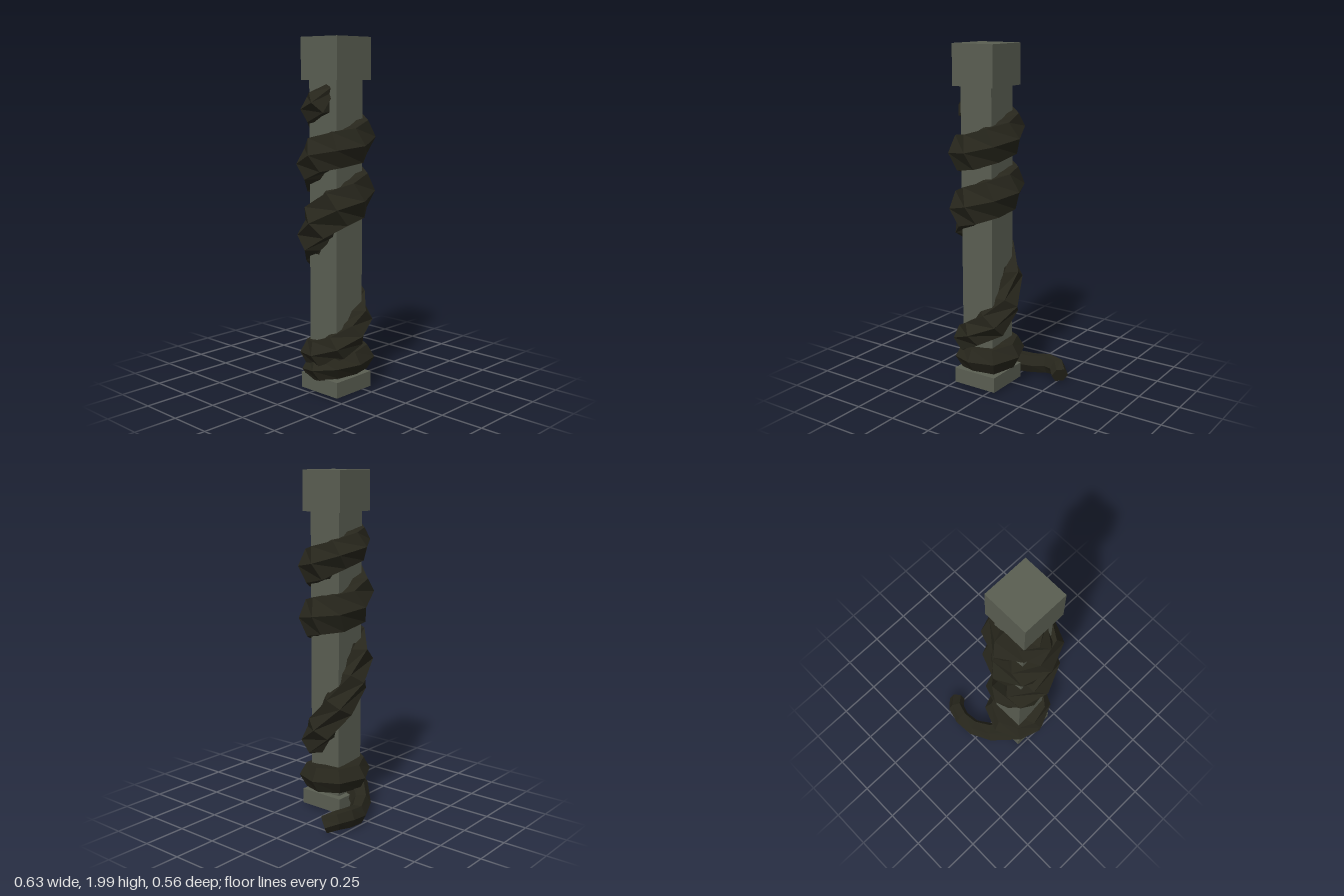
import * as THREE from 'three';

const CX = -0.095, CZ = 0.061; // pillar axis

function box(name, w, y0, y1, material) {
  const mesh = new THREE.Mesh(new THREE.BoxGeometry(w, y1 - y0, w), material);
  mesh.position.set(CX, (y0 + y1) / 2, CZ);
  mesh.name = name;
  return mesh;
}

// Faceted tube through stations { p, w, h }: w = sideways radius, h = upright radius
function facetedTube(stations, sides) {
  const pos = [], index = [], up = new THREE.Vector3(0, 1, 0), n = stations.length;
  stations.forEach(({ p, w, h }, i) => {
    const t = stations[Math.min(i + 1, n - 1)].p.clone()
      .sub(stations[Math.max(i - 1, 0)].p).normalize();
    const side = t.clone().cross(up).normalize();
    const b = t.clone().cross(side);
    for (let j = 0; j < sides; j++) {
      const a = (j / sides) * Math.PI * 2;
      const v = p.clone().addScaledVector(side, w * Math.cos(a)).addScaledVector(b, h * Math.sin(a));
      pos.push(v.x, v.y, v.z);
    }
  });
  for (let i = 0; i < n - 1; i++) {
    for (let j = 0; j < sides; j++) {
      const k = (j + 1) % sides;
      const a = i * sides + j, b = i * sides + k, c = b + sides, d = a + sides;
      index.push(a, b, c, a, c, d);
    }
  }
  // end caps
  const last = (n - 1) * sides;
  for (let j = 1; j < sides - 1; j++) {
    index.push(0, j + 1, j, last, last + j, last + j + 1);
  }
  const indexed = new THREE.BufferGeometry();
  indexed.setAttribute('position', new THREE.Float32BufferAttribute(pos, 3));
  indexed.setIndex(index);
  const geo = indexed.toNonIndexed();
  geo.computeVertexNormals();
  return geo;
}

export function createModel() {
  const group = new THREE.Group();
  const stone = new THREE.MeshStandardMaterial({ color: 0x5a5e52, flatShading: true });
  const bark = new THREE.MeshStandardMaterial({ color: 0x27261c, flatShading: true });

  // Square pillar
  group.add(box('base', 0.28, 0.02, 0.11, stone));
  group.add(box('shaft', 0.206, 0.1, 1.78, stone));
  group.add(box('capital', 0.27, 1.77, 2, stone));

  // Vine: loose end lying on the ground behind the pillar, then rising over the base
  const stations = [
    [0.275, 0.055, -0.155, 0.05, 0.05],
    [0.228, 0.078, -0.205, 0.05, 0.055],
    [0.15, 0.075, -0.227, 0.048, 0.06],
    [0.05, 0.06, -0.215, 0.052, 0.06],
    [-0.06, 0.078, -0.155, 0.06, 0.064],
  ].map(([x, y, z, w, h]) => ({ p: new THREE.Vector3(x, y, z), w, h }));

  // Vine: coils, eight heights per turn from the back left corner, then left, front, right, back
  const coils = [
    { r: 0.115, w: 0.08, h: 0.075, ys: [0.135, 0.16, 0.185, 0.195] },
    { r: 0.135, w: 0.085, h: 0.085, ys: [0.2, 0.21, 0.215, 0.22] },
    { r: 0.125, w: 0.08, h: 0.085, ys: [0.23, 0.25, 0.3, 0.36] },
    { r: 0.125, w: 0.083, h: 0.1, ys: [0.42, 0.52, 0.66, 0.8] },
    { r: 0.13, w: 0.088, h: 0.125, ys: [0.91, 1.0, 1.08, 1.12, 1.16, 1.19, 1.21, 1.24] },
    { r: 0.13, w: 0.09, h: 0.115, ys: [1.31, 1.37, 1.4, 1.42, 1.46, 1.49] },
    { r: 0.13, w: 0.088, h: 0.1, ys: [1.54, 1.58] },
    { r: 0.12, w: 0.075, h: 0.085, ys: [1.61, 1.65] },
  ];
  let step = 0;
  for (const { r, w, h, ys } of coils) {
    for (const y of ys) {
      const a = (135 + 45 * step++) * Math.PI / 180;
      const p = new THREE.Vector3(CX + r * Math.cos(a), y, CZ - r * Math.sin(a));
      stations.push({ p, w, h });
    }
  }
  // upper tip sinks into the pillar
  stations.push({ p: new THREE.Vector3(-0.175, 1.73, 0.1), w: 0.03, h: 0.035 });

  const vine = new THREE.Mesh(facetedTube(stations, 6), bark);
  vine.name = 'vine';
  group.add(vine);
  return group;
}
